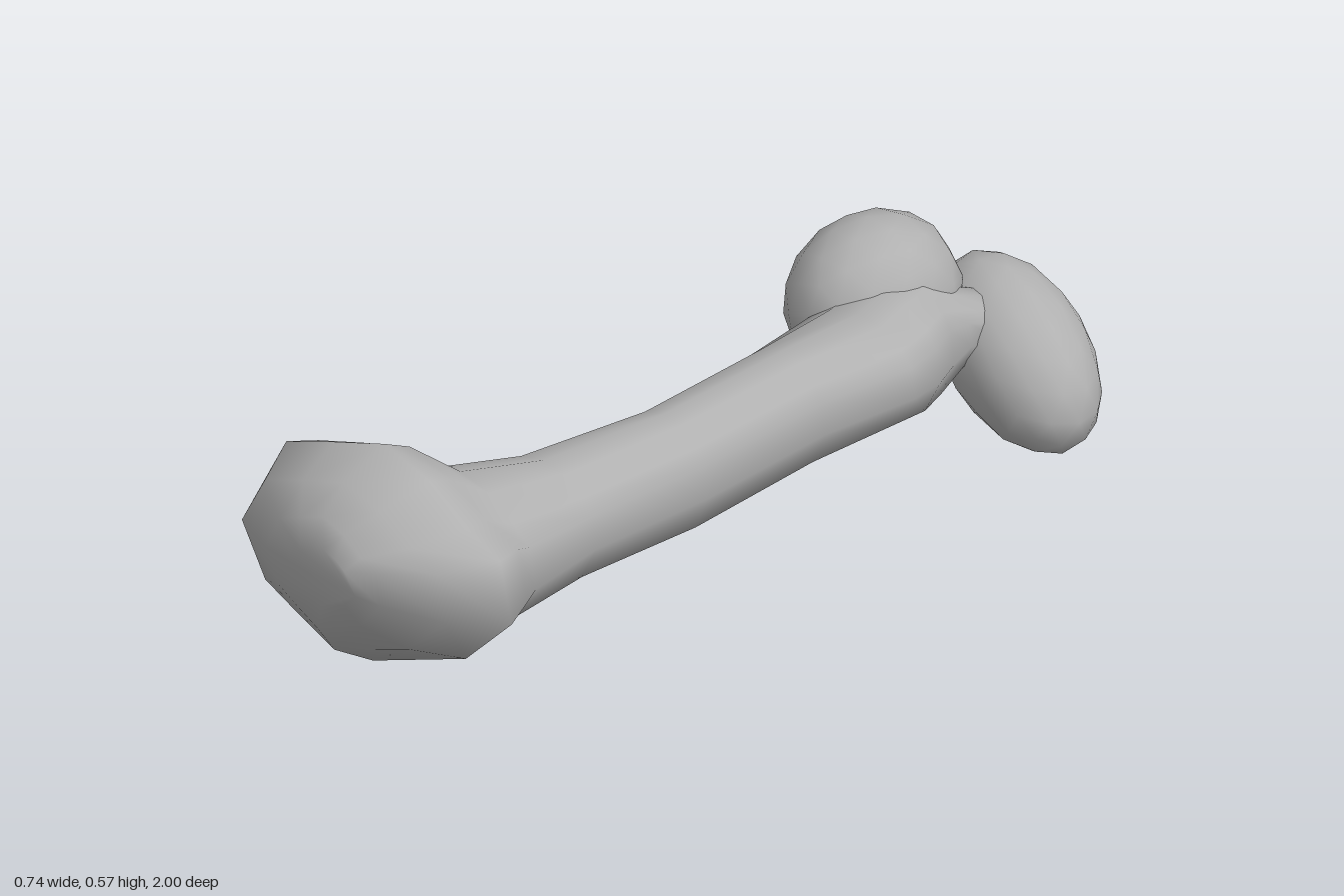
import * as THREE from 'three';
import { mergeVertices } from 'three/addons/utils/BufferGeometryUtils.js';

// Angular outline of the knuckle end, fitted to a -1..1 box, counter-clockwise
const KNUCKLE = [
  [1, -0.13], [0.91, 0.39], [0.65, 0.56], [0.36, 0.84], [0, 1], [-0.4, 0.82],
  [-0.77, 0.64], [-1, 0.05], [-0.77, -0.53], [-0.42, -0.78], [-0.09, -1], [0.64, -0.62],
];

// Cross-sections from front to back: z, left x, right x, low y, high y, knuckle share
const SECTIONS = [
  [1.0, -0.11, 0.06, 0.27, 0.40, 1],
  [0.98, -0.2, 0.11, 0.2, 0.46, 1],
  [0.92, -0.32, 0.23, 0.125, 0.515, 1],
  [0.82, -0.37, 0.32, 0.065, 0.57, 1],
  [0.74, -0.35, 0.29, 0.11, 0.53, 1],
  [0.66, -0.17, 0.24, 0.12, 0.465, 0.5],
  [0.43, -0.09, 0.195, 0.135, 0.405, 0],
  [0.1, -0.04, 0.195, 0.118, 0.387, 0],
  [-0.25, -0.045, 0.195, 0.128, 0.387, 0],
  [-0.47, -0.07, 0.24, 0.145, 0.39, 0],
  [-0.56, -0.08, 0.225, 0.125, 0.4, 0],
  [-0.64, -0.07, 0.19, 0.12, 0.4, 0],
  [-0.72, 0.0, 0.165, 0.16, 0.35, 0],
  [-0.82, 0.02, 0.17, 0.14, 0.31, 0],
];

// Skin the sections into one smooth closed body
function loft(sections, outline) {
  const n = outline.length;
  const pos = [];
  const index = [];
  for (const [z, x0, x1, y0, y1, k] of sections) {
    for (const [u, v] of outline) {
      const s = k + (1 - k) / Math.hypot(u, v);
      pos.push((x0 + x1) / 2 + (u * s * (x1 - x0)) / 2, (y0 + y1) / 2 + (v * s * (y1 - y0)) / 2, z);
    }
  }
  for (let i = 0; i < sections.length - 1; i++) {
    for (let j = 0; j < n; j++) {
      const a = i * n + j;
      const c = i * n + ((j + 1) % n);
      index.push(a, a + n, c, c, a + n, c + n);
    }
  }
  // End caps
  const last = (sections.length - 1) * n;
  for (let j = 1; j < n - 1; j++) {
    index.push(0, j, j + 1, last, last + j + 1, last + j);
  }
  const g = new THREE.BufferGeometry();
  g.setAttribute('position', new THREE.Float32BufferAttribute(pos, 3));
  g.setIndex(index);
  g.computeVertexNormals();
  return g;
}

// Smooth low-poly ellipsoid whose long axis follows a direction; flat behind zMin
function knob(center, radii, axis, zMin) {
  let g = new THREE.IcosahedronGeometry(1, 2);
  g.deleteAttribute('normal');
  g.deleteAttribute('uv');
  g = mergeVertices(g, 1e-4);
  g.scale(...radii);
  const turn = new THREE.Quaternion().setFromUnitVectors(
    new THREE.Vector3(1, 0, 0), new THREE.Vector3(...axis).normalize());
  g.applyQuaternion(turn);
  g.translate(...center);
  const p = g.attributes.position;
  for (let i = 0; i < p.count; i++) p.setZ(i, Math.max(p.getZ(i), zMin));
  g.computeVertexNormals();
  return g;
}

export function createModel() {
  const group = new THREE.Group();
  group.name = 'thighBone';
  const bone = new THREE.MeshStandardMaterial({ color: 0xb0b0b0 });
  bone.name = 'boneGrey';

  const add = (name, geometry) => {
    const mesh = new THREE.Mesh(geometry, bone);
    mesh.name = name;
    group.add(mesh);
  };

  // Shaft with the broad knuckle at the front and the neck at the back
  add('shaftAndKnuckle', loft(SECTIONS, KNUCKLE));
  // Raised side knob with a flat back
  add('sideKnob', knob([-0.04, 0.315, -0.65], [0.165, 0.172, 0.2], [1, -0.1, 0], -0.81));
  // Ball that sits across the end of the neck
  add('ballHead', knob([0.16, 0.173, -0.86], [0.237, 0.147, 0.143], [0.83, -0.5, 0.2], -1));

  return group;
}
